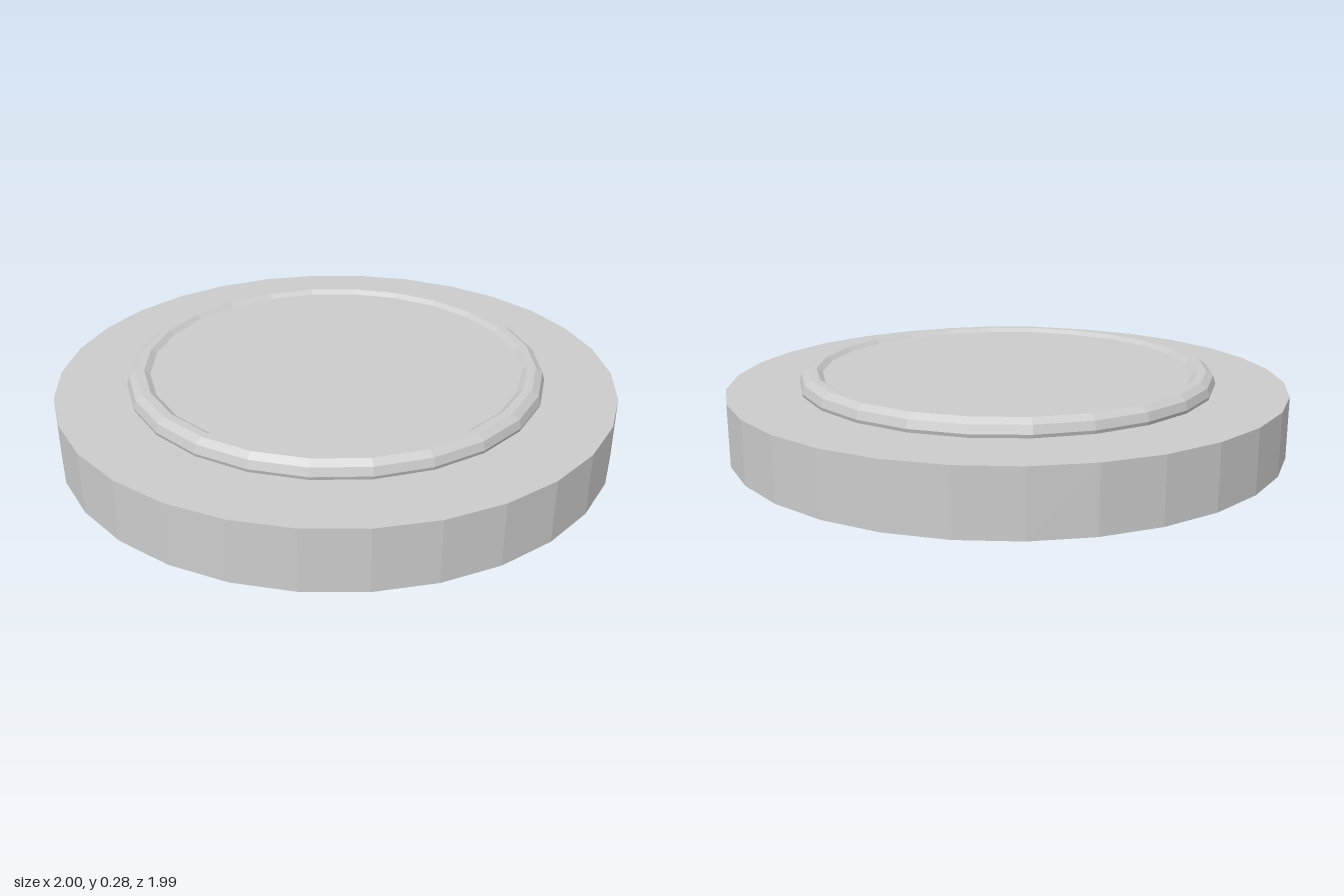
import * as THREE from 'three';

const BASE_HEIGHT = 0.22;
const PANEL_TOP = 0.263;

export function createModel() {
  const model = new THREE.Group();
  const material = new THREE.MeshStandardMaterial({ color: 0xcccccc, flatShading: true });

  const add = (name, geometry, y) => {
    const mesh = new THREE.Mesh(geometry, material);
    mesh.name = name;
    mesh.position.y = y;
    model.add(mesh);
  };

  // 30-sided disc with a corner on the x axis
  const disc = (radius, height) =>
    new THREE.CylinderGeometry(radius, radius, height, 30, 1, false, Math.PI / 2);

  // Thick round base
  add('base', disc(1, BASE_HEIGHT), BASE_HEIGHT / 2);

  // Raised panel, its rim hidden inside the ring
  const panelHeight = PANEL_TOP - 0.2;
  add('centrePanel', disc(0.695, panelHeight), PANEL_TOP - panelHeight / 2);

  // Rounded trim ring, partly sunk into the base
  add('trimRing', new THREE.TorusGeometry(0.7, 0.048, 10, 24).rotateX(-Math.PI / 2), 0.232);

  return model;
}
